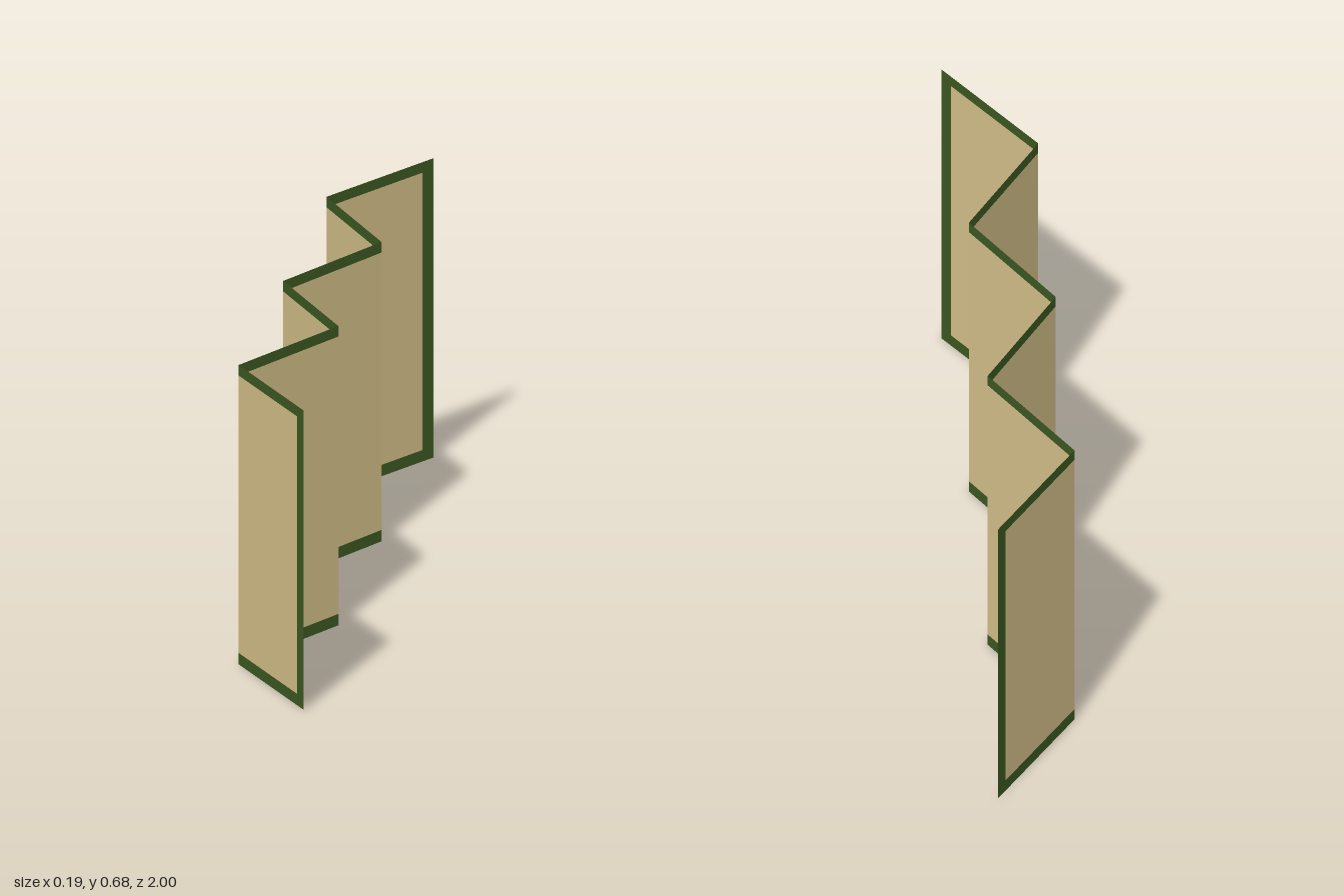
import * as THREE from 'three';

const HEIGHT = 0.684, HEM = 0.026;

// zigzag fold line in plan, as [x, z]
const folds = [
  [0.095, -1], [-0.094, -0.667], [0.076, -0.333], [-0.094, 0],
  [0.076, 0.333], [-0.097, 0.667], [0.095, 1],
];

// point a little way along a fold line segment
const along = (a, b, t) => [a[0] + (b[0] - a[0]) * t, a[1] + (b[1] - a[1]) * t];

// thin upright sheet following a plan path, one flat quad per segment
function sheet(name, path, y0, y1, material) {
  const pos = [];
  for (let i = 0; i < path.length - 1; i++) {
    const [ax, az] = path[i], [bx, bz] = path[i + 1];
    pos.push(ax, y0, az, ax, y1, az, bx, y1, bz);
    pos.push(ax, y0, az, bx, y1, bz, bx, y0, bz);
  }
  const geometry = new THREE.BufferGeometry();
  geometry.setAttribute('position', new THREE.Float32BufferAttribute(pos, 3));
  geometry.computeVertexNormals();
  const mesh = new THREE.Mesh(geometry, material);
  mesh.name = name;
  return mesh;
}

export function createModel() {
  const group = new THREE.Group();
  group.name = 'foldingScreen';
  const tan = new THREE.MeshStandardMaterial({ color: 0xd9c48c, side: THREE.DoubleSide });
  const green = new THREE.MeshStandardMaterial({ color: 0x3d5a22, side: THREE.DoubleSide });

  // inner path stops short of both ends to leave room for the end borders
  const n = folds.length;
  const startIn = along(folds[0], folds[1], 0.1);
  const endIn = along(folds[n - 1], folds[n - 2], 0.1);
  const inner = [startIn, ...folds.slice(1, -1), endIn];

  group.add(
    sheet('panels', inner, HEM, HEIGHT - HEM + 0.002, tan),
    sheet('bottomBorder', folds, 0, HEM, green),
    sheet('topBorder', folds, HEIGHT - HEM + 0.002, HEIGHT, green),
    sheet('backEndBorder', [folds[0], startIn], HEM, HEIGHT - HEM + 0.002, green),
    sheet('frontEndBorder', [endIn, folds[n - 1]], HEM, HEIGHT - HEM + 0.002, green),
  );
  return group;
}
